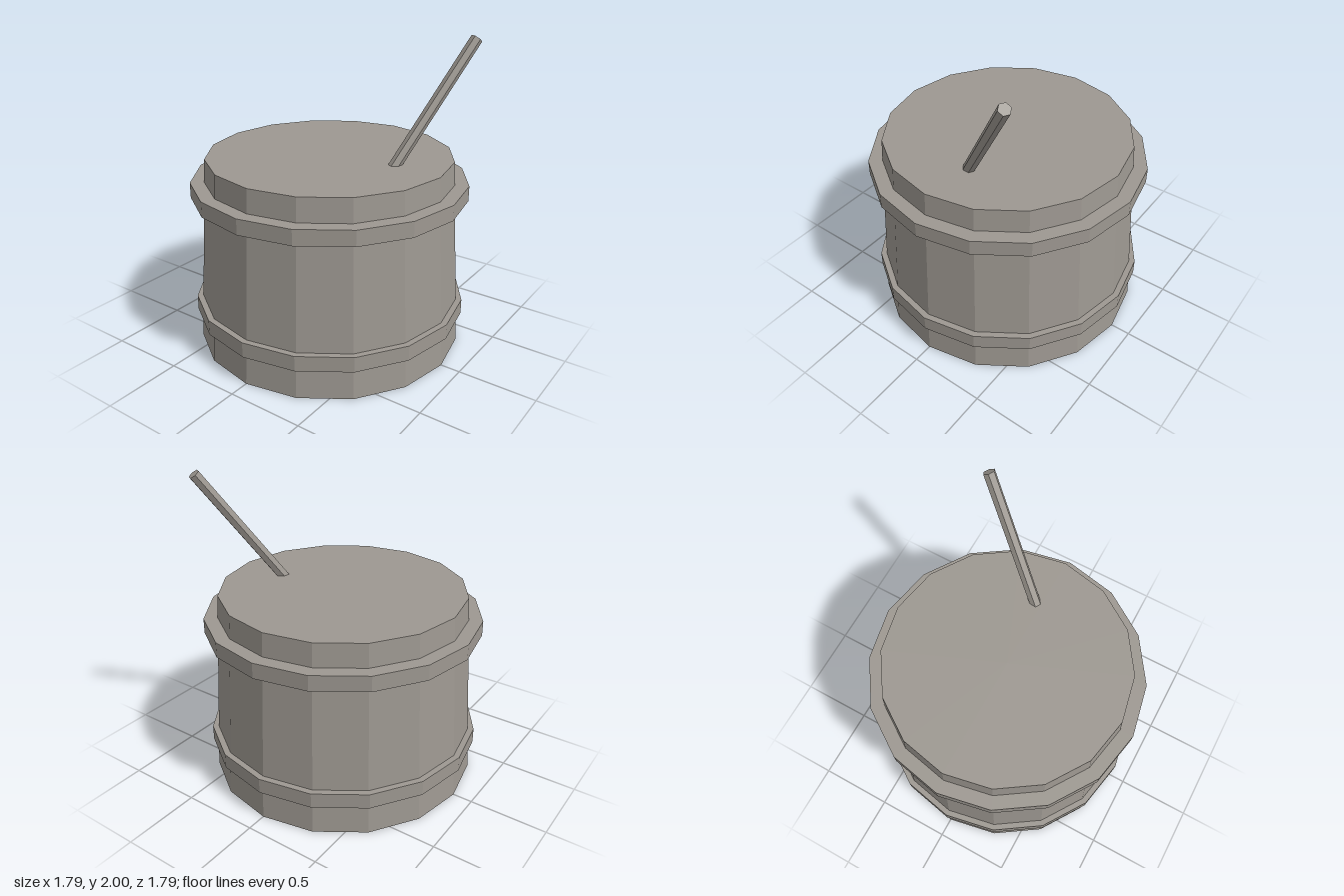
import * as THREE from 'three';

export function createModel() {
  const group = new THREE.Group();
  const stone = new THREE.MeshStandardMaterial({ color: 0x9d9891, flatShading: true });
  stone.name = 'warm grey';

  const add = (name, rTop, rBottom, height, sides, y) => {
    const mesh = new THREE.Mesh(new THREE.CylinderGeometry(rTop, rBottom, height, sides), stone);
    mesh.name = name;
    mesh.position.y = y;
    group.add(mesh);
    return mesh;
  };

  // Tapered sixteen-sided tub with a closed top
  add('tub', 0.795, 0.873, 1.25, 16, 0.625);

  // Two hoops around the tub
  add('lowerHoop', 0.893, 0.893, 0.1, 16, 0.25);
  add('upperHoop', 0.893, 0.893, 0.1, 16, 1.05);

  // Slanted handle, its foot sunk below the top face
  const tip = new THREE.Vector3(0.727, 1.982, -0.515);
  const entry = new THREE.Vector3(0.46, 1.25, -0.05);
  const foot = entry.clone().lerp(tip, -0.3);
  const axis = tip.clone().sub(foot);
  const handle = add('handle', 0.038, 0.038, axis.length(), 6, 0);
  handle.position.copy(foot).add(tip).multiplyScalar(0.5);
  handle.quaternion.setFromUnitVectors(new THREE.Vector3(0, 1, 0), axis.normalize());

  return group;
}
